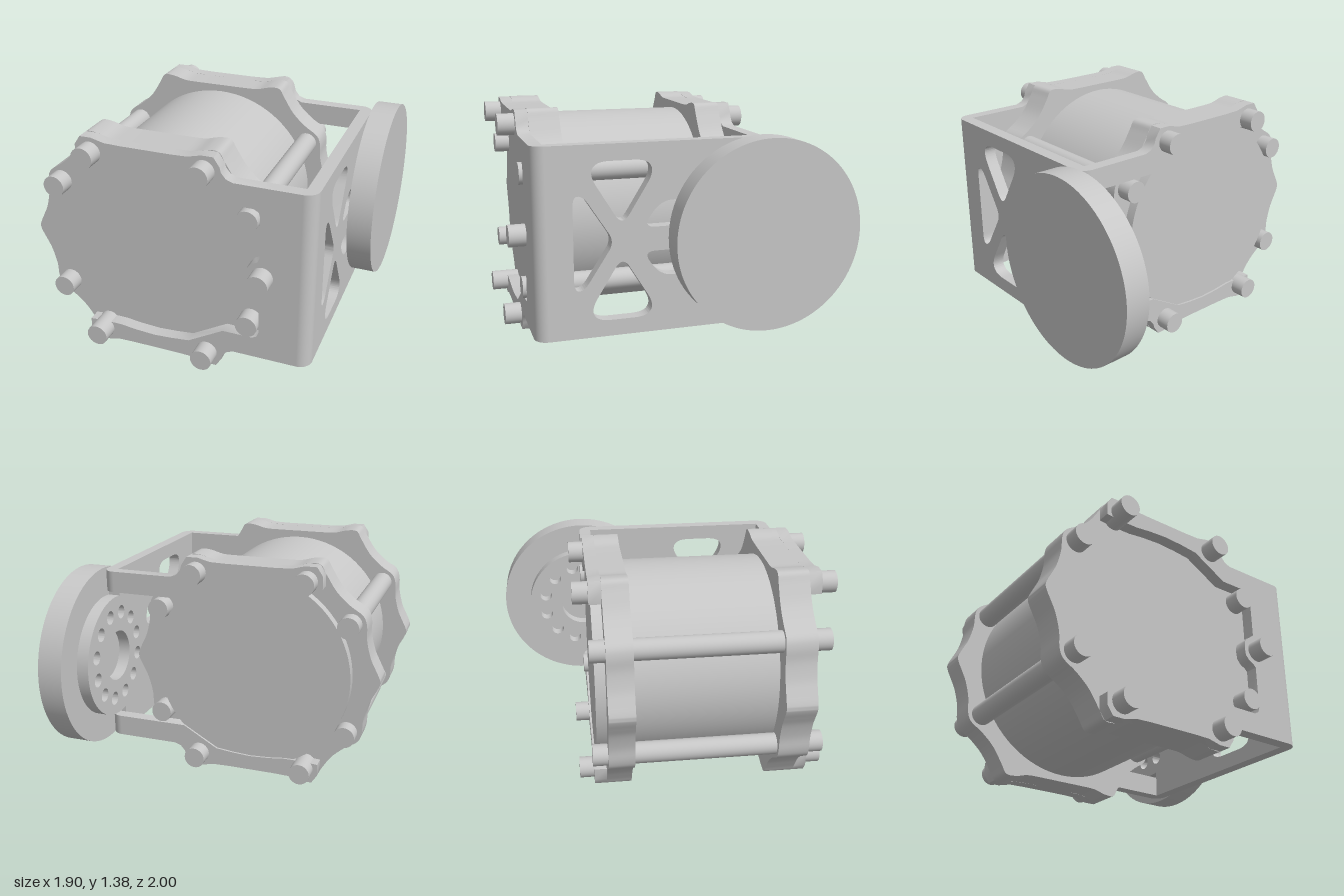
import * as THREE from 'three';
import { toCreasedNormals } from 'three/addons/utils/BufferGeometryUtils.js';

const CX = -0.175, CY = 0.688; // motor axis, parallel to z
const WZ = -0.435;             // wheel axis, parallel to x

const V = (x, y) => new THREE.Vector2(x, y);
const flipY = pts => pts.map(([x, y]) => [x, -y]);
const rev = pts => [...pts].reverse();

// closed hole with rounded corners
function roundedHole(pts, r) {
  const path = new THREE.Path();
  const n = pts.length;
  pts.forEach((p, i) => {
    const c = V(...p), a = V(...pts[(i + n - 1) % n]), b = V(...pts[(i + 1) % n]);
    const toward = q => {
      const d = q.clone().sub(c);
      return c.clone().add(d.setLength(Math.min(r, d.length() * 0.48)));
    };
    const s = toward(a), e = toward(b);
    if (i === 0) path.moveTo(s.x, s.y); else path.lineTo(s.x, s.y);
    path.quadraticCurveTo(c.x, c.y, e.x, e.y);
  });
  path.closePath();
  return path;
}

function extrude(shape, depth) {
  const g = new THREE.ExtrudeGeometry(shape, { depth, bevelEnabled: false, curveSegments: 32 });
  return toCreasedNormals(g, 0.6);
}

export function createModel() {
  const metal = new THREE.MeshStandardMaterial({ color: 0xc7c7c7 });
  metal.name = 'light grey metal';
  const model = new THREE.Group();
  model.name = 'motorWithBracket';

  const add = (name, geometry) => {
    const mesh = new THREE.Mesh(geometry, metal);
    mesh.name = name;
    model.add(mesh);
    return mesh;
  };
  const rodZ = (name, x, y, r, z0, z1, seg = 32) => {
    const g = new THREE.CylinderGeometry(r, r, z1 - z0, seg);
    g.rotateX(Math.PI / 2);
    g.translate(x, y, (z0 + z1) / 2);
    return add(name, g);
  };

  // motor body and rear cap
  rodZ('motorBody', CX, CY, 0.617, -0.22, 0.65, 80);
  rodZ('rearCap', CX, CY, 0.615, -0.432, -0.36, 80);

  // scalloped flanges: one quarter of the outline, mirrored twice
  const quarter = [[0.78, 0], [0.77, 0.035], [0.745, 0.085], [0.715, 0.15], [0.69, 0.25], [0.685, 0.34],
    [0.66, 0.40], [0.58, 0.455], [0.5, 0.53], [0.435, 0.63], [0.40, 0.683], [0.33, 0.683], [0.25, 0.663],
    [0.15, 0.66], [0, 0.66]];
  const flipX = pts => pts.map(([x, y]) => [-x, y]);
  const upper = [...quarter, ...rev(flipX(quarter)).slice(1)];
  const loop = [...upper, ...rev(flipY(upper)).slice(1, -1)];
  const outline = new THREE.SplineCurve([...loop, loop[0]].map(p => V(...p))).getPoints(224);
  outline.pop();
  for (const [name, z0, z1] of [['frontFlange', 0.64, 0.825], ['rearFlange', -0.37, -0.215]]) {
    add(name, extrude(new THREE.Shape(outline), z1 - z0)).position.set(CX, CY, z0);
  }

  // long tie rods and short bolts around the motor
  for (const sy of [-1, 1]) {
    for (const sx of [-1, 1]) {
      rodZ('tieRod', CX + sx * 0.593, CY + sy * 0.342, 0.065, -0.46, 0.92);
      rodZ('bolt', CX + sx * 0.342, CY + sy * 0.593, 0.065, 0.70, 1.0);
      rodZ('bolt', CX + sx * 0.342, CY + sy * 0.593, 0.065, -0.535, -0.25);
    }
  }
  rodZ('sideBolt', 0.505, CY, 0.065, 0.80, 1.0);

  // bracket arms, heights measured from the motor axis
  const corner = rev(quarter.slice(9)).map(([x, y]) => [CX + x, y]);
  const outer = [...rev(corner).map(([x, y]) => [2 * CX - x, y]), ...corner.slice(1),
    [0.268, 0.6], [0.295, 0.567], [0.335, 0.552], [0.72, 0.552]];
  const arc = [[-0.61, 0.555], [-0.5, 0.548], [-0.4, 0.548], [-0.3, 0.56], [-0.175, 0.567],
    [-0.06, 0.56], [0.05, 0.548], [0.27, 0.42]];
  const frontInner = [...arc, [0.45, 0.42], [0.48, 0.405], [0.49, 0.375], [0.49, 0.11], [0.475, 0.093],
    [0.44, 0.075], [0.415, 0.045], [0.41, 0]];
  const rearInner = [...arc, [0.72, 0.42]];
  const plate = (name, pts, z) =>
    add(name, extrude(new THREE.Shape(pts.map(p => V(...p))), 0.075)).position.set(0, CY, z);
  plate('frontArm', [...outer, ...rev(flipY(outer)), ...flipY(frontInner), ...rev(frontInner).slice(1)], 0.825);
  const strip = [...outer, ...rev(rearInner)];
  plate('rearArmUpper', strip, -0.445);
  plate('rearArmLower', flipY(strip), -0.445);

  // rounded bends joining the arms to the side wall
  const bend = (name, y, h, z, start) =>
    add(name, new THREE.CylinderGeometry(0.075, 0.075, h, 12, 1, false, start, Math.PI / 2)).position.set(0.72, y, z);
  bend('frontBend', CY, 1.104, 0.825, 0);
  for (const s of [-1, 1]) bend('rearBend', CY + s * 0.486, 0.132, -0.37, Math.PI / 2);

  // side wall with round wheel mount; shape x is model z, shape y is height from the axis
  const wall = new THREE.Shape();
  const a = Math.acos((-0.37 - WZ) / 0.385);
  wall.moveTo(0.825, -0.552);
  wall.lineTo(0.825, 0.552);
  wall.lineTo(-0.37, 0.552);
  wall.absarc(WZ, 0, 0.385, a, 2 * Math.PI - a, false);
  wall.lineTo(-0.37, -0.552);
  wall.closePath();
  const topWindow = [[0.4, 0.085], [0.585, 0.385], [0.545, 0.457], [0.255, 0.457], [0.215, 0.385]];
  const sideWindow = [[0.285, 0.07], [0.175, 0.22], [0.02, 0.22], [-0.02, 0.07]];
  for (const w of [topWindow, sideWindow]) {
    wall.holes.push(roundedHole(w, 0.08), roundedHole(flipY(w), 0.08));
  }
  wall.holes.push(roundedHole([[0.445, 0], [0.62, 0.27], [0.678, 0.27], [0.678, -0.27], [0.62, -0.27]], 0.06));
  const circle = (z, y, r) => wall.holes.push(new THREE.Path().absarc(z, y, r, 0, Math.PI * 2, true));
  circle(WZ, 0, 0.16);
  for (let i = 0; i < 12; i++) {
    const t = (i + 0.5) * Math.PI / 6;
    circle(WZ + 0.28 * Math.cos(t), 0.28 * Math.sin(t), 0.043);
  }
  const wallGeometry = extrude(wall, 0.075);
  wallGeometry.rotateY(-Math.PI / 2);
  add('sideWall', wallGeometry).position.set(0.795, CY, 0);

  // wheel
  const wheel = new THREE.CylinderGeometry(0.565, 0.565, 0.153, 96);
  wheel.rotateZ(Math.PI / 2);
  add('wheel', wheel).position.set(0.8715, CY, WZ);

  return model;
}
